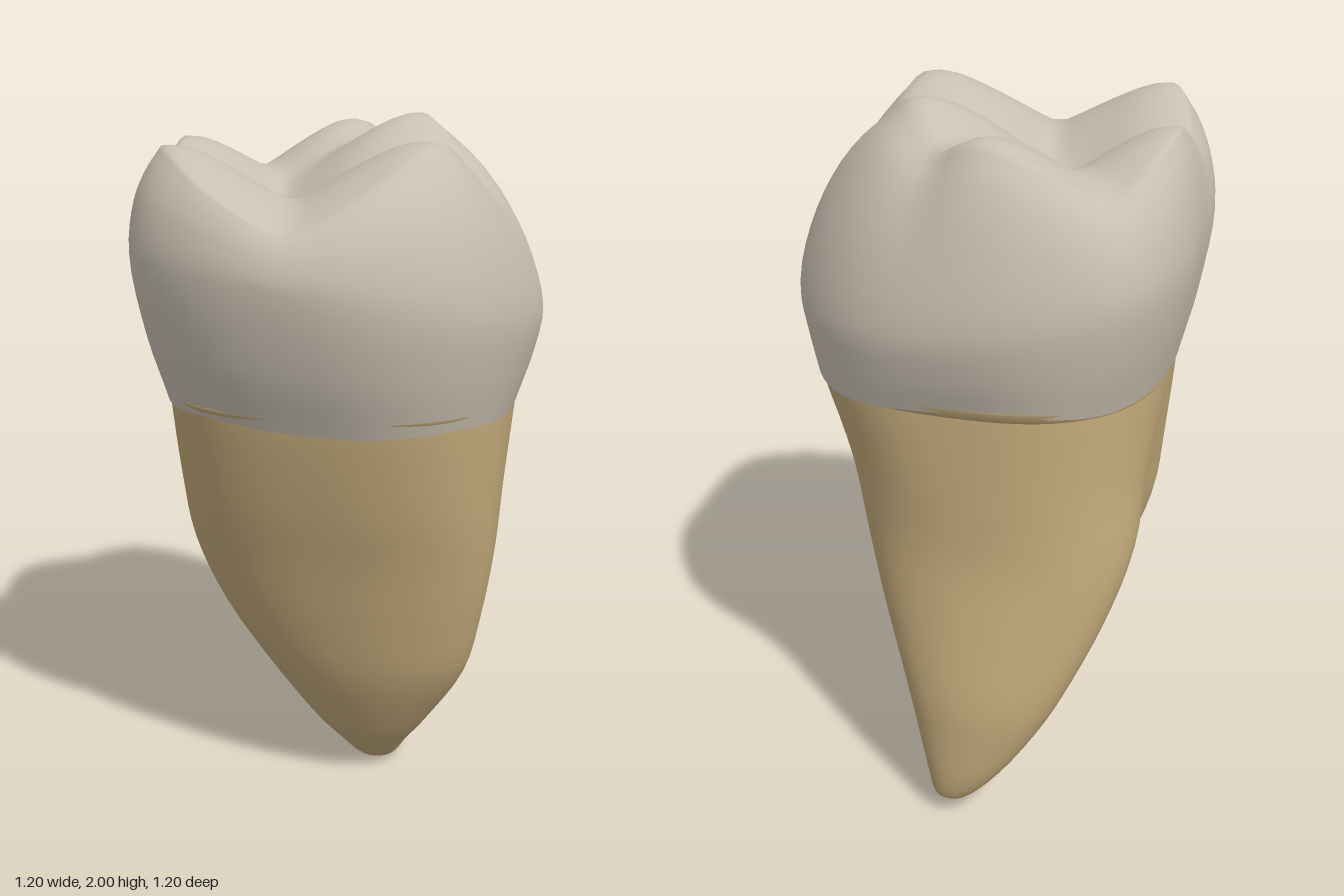
import * as THREE from 'three';

const N = 64; // points around every ring
const lerp = THREE.MathUtils.lerp;

// Skin a stack of closed rings, ordered from the bottom upward (then inward).
function loft(rings) {
  const pos = [], idx = [];
  rings.forEach(r => r.forEach(p => pos.push(p.x, p.y, p.z)));
  for (let i = 0; i < rings.length - 1; i++) {
    for (let j = 0; j < N; j++) {
      const a = i * N + j, b = i * N + (j + 1) % N, c = a + N, d = b + N;
      idx.push(a, c, b, b, c, d);
    }
  }
  const g = new THREE.BufferGeometry();
  g.setAttribute('position', new THREE.Float32BufferAttribute(pos, 3));
  g.setIndex(idx);
  g.computeVertexNormals();
  return g;
}

// Catmull-Rom blend of rows of numbers.
function blend(rows, t) {
  const i = Math.min(Math.floor(t), rows.length - 2), f = t - i;
  const at = k => rows[THREE.MathUtils.clamp(k, 0, rows.length - 1)];
  return rows[i].map((p1, k) => {
    const p0 = at(i - 1)[k], p2 = at(i + 1)[k], p3 = at(i + 2)[k];
    return p1 + 0.5 * f * (p2 - p0 + f * (2 * p0 - 5 * p1 + 4 * p2 - p3 + f * (3 * (p1 - p2) + p3 - p0)));
  });
}

// Superellipse in a frame turned 45 degrees: u runs between the roots, v along their width.
function section([y, u, v, a, b, n], theta) {
  const c = Math.cos(theta + Math.PI / 4), s = Math.sin(theta + Math.PI / 4);
  const U = u + a * Math.sign(c) * Math.abs(c) ** (2 / n);
  const V = v + b * Math.sign(s) * Math.abs(s) ** (2 / n);
  return new THREE.Vector3((U + V) * Math.SQRT1_2, y, (V - U) * Math.SQRT1_2);
}

const ring = fn => Array.from({ length: N }, (_, j) => fn(j / N * Math.PI * 2));

// Rows: y, u, v, half size in u, half size in v, squareness
const NECK = [1.25, 0.034, 0.032, 0.48, 0.485, 2.6];
const COLLAR = [[1.3, 0.034, 0.032, 0.472, 0.475, 2.6], [1.35, 0.034, 0.032, 0.43, 0.43, 2.6]];
const FRONT_ROOT = [
  [0, 0.12, 0.12, 0.004, 0.004, 2], [0.02, 0.11, 0.115, 0.055, 0.06, 2],
  [0.1, 0.075, 0.11, 0.095, 0.115, 2], [0.2, 0.035, 0.108, 0.13, 0.185, 2],
  [0.4, -0.025, 0.105, 0.175, 0.305, 2], [0.6, -0.05, 0.07, 0.215, 0.39, 2.1],
  [0.8, -0.05, 0.045, 0.272, 0.445, 2.25], [1.0, -0.035, 0.038, 0.35, 0.465, 2.4], NECK, ...COLLAR,
];
const BACK_ROOT = [
  [0.05, 0.53, 0.045, 0.004, 0.004, 2], [0.065, 0.528, 0.035, 0.05, 0.055, 2],
  [0.15, 0.515, 0.005, 0.082, 0.11, 2], [0.27, 0.478, -0.02, 0.12, 0.175, 2],
  [0.4, 0.437, -0.035, 0.155, 0.235, 2], [0.6, 0.365, -0.04, 0.19, 0.32, 2],
  [0.8, 0.285, -0.035, 0.235, 0.385, 2.1], [1.0, 0.2, -0.01, 0.315, 0.42, 2.2], NECK, ...COLLAR,
];

function rootGeometry(rows) {
  const rings = [], steps = (rows.length - 1) * 4;
  for (let i = 0; i <= steps; i++) {
    const row = blend(rows, i / 4);
    rings.push(ring(t => section(row, t)));
  }
  return loft(rings);
}

// Crown radii every 22.5 degrees, from +x toward +z
const WIDEST = [0.6, 0.6, 0.585, 0.59, 0.6, 0.59, 0.58, 0.59, 0.595, 0.555, 0.525, 0.56, 0.6, 0.59, 0.585, 0.595];
const RIM = [0.31, 0.33, 0.35, 0.39, 0.44, 0.49, 0.53, 0.53, 0.5, 0.47, 0.46, 0.48, 0.5, 0.48, 0.44, 0.36];
function radius(table, theta) {
  const t = theta / (Math.PI * 2) * 16, i = Math.floor(t);
  const rows = [-1, 0, 1, 2].map(k => [table[(i + k + 16) % 16]]);
  return blend(rows, 1 + t - i)[0];
}

// Chewing surface: soft maximum of five blunt ridges that run down to a central pit.
// Rows: x, z, top, steepness across the ridge
const PIT = [-0.13, -0.06];
const CUSPS = [
  [0.29, -0.02, 2.0, 1.2], [0.05, 0.37, 1.97, 1], [0.26, -0.33, 1.96, 1.15],
  [-0.25, -0.37, 1.935, 1], [-0.47, -0.02, 1.955, 0.92],
];
function height(x, z) {
  const k = 0.014;
  let sum = 0;
  for (const [cx, cz, top, steep] of CUSPS) {
    const px = PIT[0] - cx, pz = PIT[1] - cz, len = Math.hypot(px, pz);
    const along = ((x - cx) * px + (z - cz) * pz) / len * 0.9;
    const across = ((x - cx) * pz - (z - cz) * px) / len * steep;
    const d = Math.sqrt(along ** 2 + across ** 2 + 0.007) - 0.084;
    sum += Math.exp((top - 0.64 * d - 2) / k);
  }
  const pit = 0.06 * Math.exp(-((x - PIT[0]) ** 2 + (z - PIT[1]) ** 2) / 0.03);
  return 2 + k * Math.log(sum) - pit;
}

function crownGeometry() {
  const SIDE = 20, TOP = 18, columns = [];
  for (let j = 0; j < N; j++) {
    const t = j / N * Math.PI * 2, cos = Math.cos(t), sin = Math.sin(t);
    const R = radius(WIDEST, t), r = radius(RIM, t);
    const at = (rad, y) => new THREE.Vector3(cos * rad, y, sin * rad);
    const neck = section(NECK, t).multiplyScalar(1.014);
    neck.y = 1.25 - 0.014 * sin + 0.007 * Math.sin(5 * t);
    const wide = at(R, 1.57 - 0.1 * cos);
    const low = neck.clone().lerp(wide, 0.6);
    low.y = lerp(neck.y, wide.y, 0.45);
    const rim = at(r, height(cos * r, sin * r));
    const side = new THREE.CatmullRomCurve3([
      neck, low, wide,
      at(lerp(R, r, 0.21), lerp(wide.y, rim.y, 0.48 - 0.04 * cos)),
      at(lerp(R, r, 0.58), lerp(wide.y, rim.y, 0.8)), rim,
    ]).getPoints(SIDE);
    // from the rim inward to the central pit
    for (let i = 1; i <= TOP; i++) {
      const x = lerp(rim.x, PIT[0], i / TOP), z = lerp(rim.z, PIT[1], i / TOP);
      side.push(new THREE.Vector3(x, height(x, z), z));
    }
    columns.push(side);
  }
  return loft(columns[0].map((_, i) => columns.map(c => c[i])));
}

export function createModel() {
  const enamel = new THREE.MeshStandardMaterial({ color: 0xc9c0b1 });
  enamel.name = 'enamel';
  const dentine = new THREE.MeshStandardMaterial({ color: 0xc2a97a });
  dentine.name = 'dentine';

  const group = new THREE.Group();
  group.name = 'tooth';
  const add = (name, geometry, material) => {
    const mesh = new THREE.Mesh(geometry, material);
    mesh.name = name;
    group.add(mesh);
  };
  add('crown', crownGeometry(), enamel);
  add('frontRoot', rootGeometry(FRONT_ROOT), dentine);
  add('backRoot', rootGeometry(BACK_ROOT), dentine);
  return group;
}
